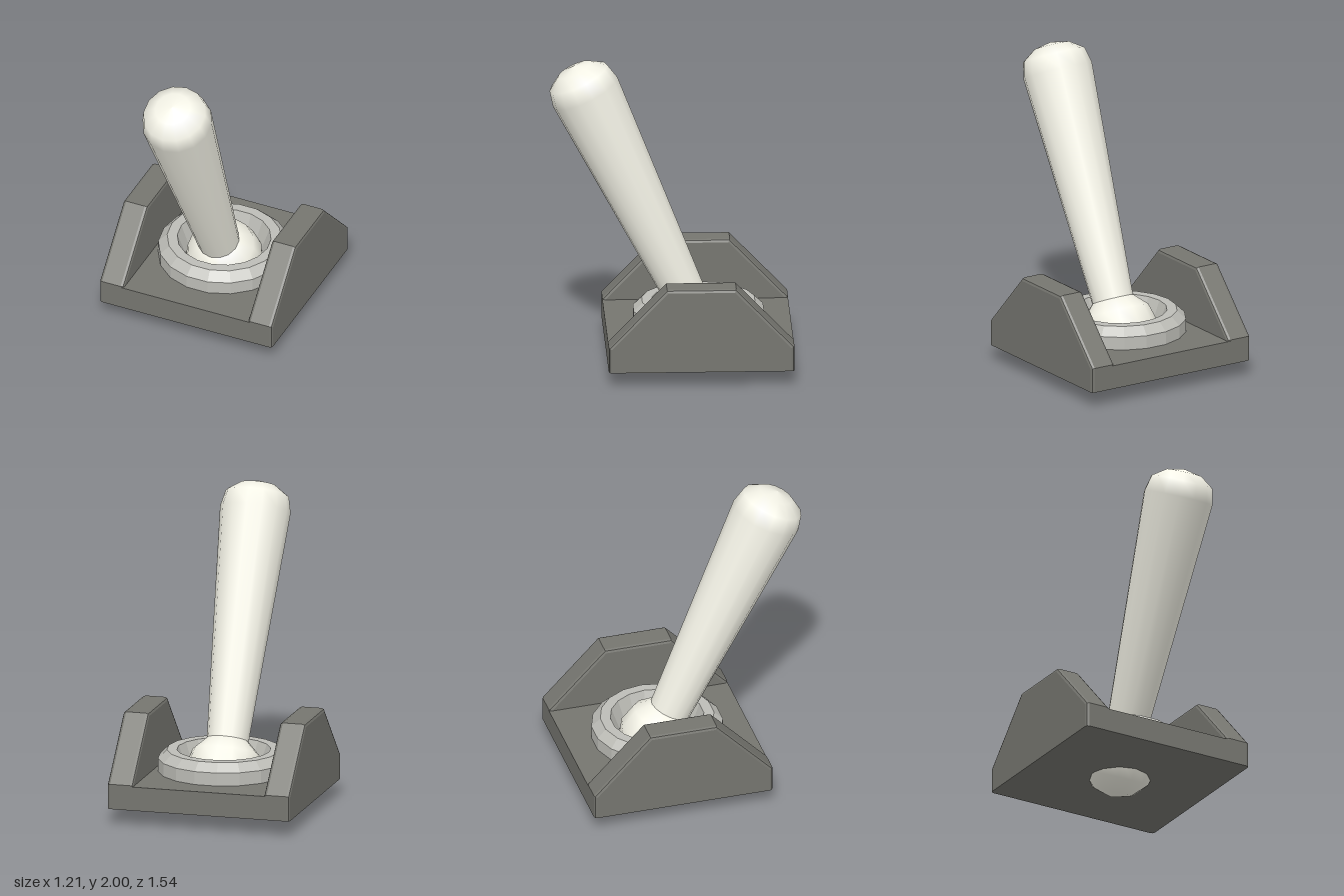
import * as THREE from 'three';

const BOTTOM = 0.11;
const PIVOT = [0, 0.255, -0.18];

function part(name, geometry, color, flatShading = false) {
  const mesh = new THREE.Mesh(geometry, new THREE.MeshStandardMaterial({ color, flatShading }));
  mesh.name = name;
  return mesh;
}

// Side outline of (z, y) points extruded across x, with bevelled edges and a flat underside
function sideExtrusion(outline, width, bevel) {
  const shape = new THREE.Shape(outline.map(([z, y]) => new THREE.Vector2(z, y)));
  const geo = new THREE.ExtrudeGeometry(shape, {
    depth: width - 2 * bevel, bevelSize: bevel, bevelThickness: bevel, bevelSegments: 2,
  });
  geo.translate(0, 0, bevel - width / 2);
  geo.rotateY(-Math.PI / 2);
  const p = geo.attributes.position;
  for (let i = 0; i < p.count; i++) p.setY(i, Math.max(p.getY(i), BOTTOM));
  geo.computeVertexNormals();
  return geo;
}

function lathe(points, sides, start = 0) {
  return new THREE.LatheGeometry(points.map(([r, y]) => new THREE.Vector2(r, y)), sides, start);
}

export function createModel() {
  const model = new THREE.Group();
  const dark = 0x75756f, cream = 0xf3f2e6;

  // Base plate between the two guards
  const plate = sideExtrusion([
    [-0.76, BOTTOM], [0.405, BOTTOM], [0.405, 0.255], [-0.76, 0.255],
  ], 0.96, 0.01);
  model.add(part('basePlate', plate, dark));

  // Sloped side guards
  const guard = sideExtrusion([
    [-0.75, BOTTOM], [0.395, BOTTOM], [0.395, 0.265], [0.035, 0.64], [-0.39, 0.64], [-0.75, 0.265],
  ], 0.17, 0.02);
  for (const [name, side] of [['leftGuard', 1], ['rightGuard', -1]]) {
    const mesh = part(name, guard, dark);
    mesh.position.x = side * 0.52;
    model.add(mesh);
  }

  // Faceted collar around the ball
  const collar = part('collar', lathe([
    [0.422, 0.255], [0.422, 0.35], [0.365, 0.405], [0.3, 0.405], [0.245, 0.26],
  ], 18, Math.PI / 2), 0xbdbdb7, true);
  collar.position.z = PIVOT[2];
  model.add(collar);

  // Tilted lever on its pivot ball
  const lever = new THREE.Group();
  lever.name = 'lever';
  const ball = [];
  for (let i = 0; i <= 6; i++) {
    const a = -Math.PI / 2 + (i * Math.PI) / 6;
    ball.push([i % 6 ? 0.25 * Math.cos(a) : 0, 0.25 * Math.sin(a)]);
  }
  lever.add(part('pivotBall', lathe(ball, 14), cream));
  lever.add(part('handle', lathe([[0.134, 0.19], [0.137, 0.25], [0.227, 1.709],
    [0.203, 1.813], [0.115, 1.874], [0, 1.897]], 14), cream));
  lever.position.set(...PIVOT);
  lever.rotation.x = THREE.MathUtils.degToRad(25);
  model.add(lever);

  return model;
}
